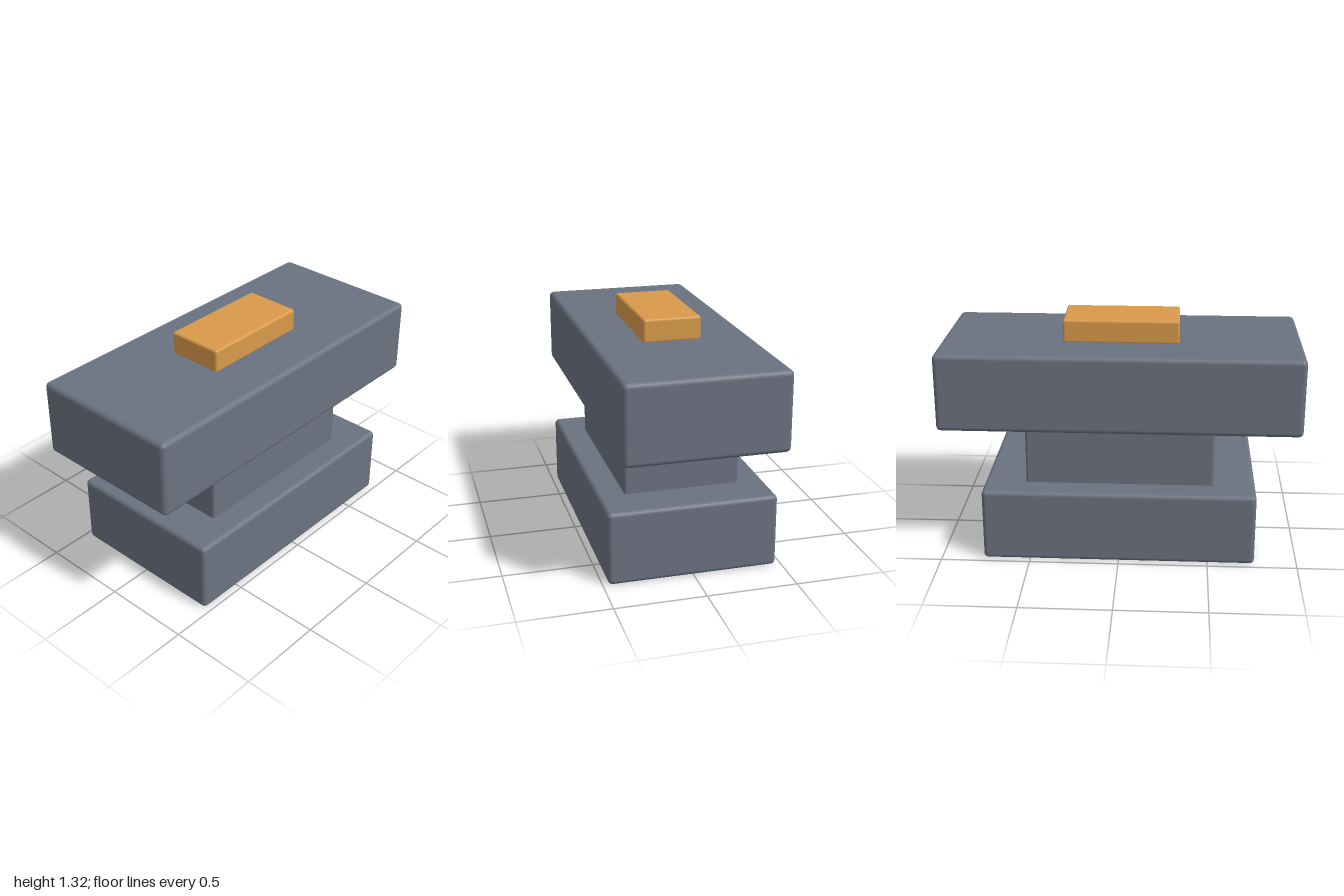
import * as THREE from 'three';
import { RoundedBoxGeometry } from 'three/addons/geometries/RoundedBoxGeometry.js';

export function createModel() {
  const group = new THREE.Group();

  const slate = new THREE.MeshStandardMaterial({ color: 0x6b7280 });
  slate.name = 'slate grey';
  const amber = new THREE.MeshStandardMaterial({ color: 0xd99a4a });
  amber.name = 'amber';

  // Soft-edged block centred on the vertical axis, from y0 to y1
  const block = (name, width, depth, y0, y1, radius, material) => {
    const geometry = new RoundedBoxGeometry(width, y1 - y0, depth, 3, radius);
    const mesh = new THREE.Mesh(geometry, material);
    mesh.name = name;
    mesh.position.y = (y0 + y1) / 2;
    group.add(mesh);
  };

  block('base', 1.525, 0.94, 0, 0.413, 0.025, slate);
  // The waist runs a little into the blocks above and below
  block('waist', 1.055, 0.647, 0.37, 0.8, 0.015, slate);
  block('body', 2, 0.88, 0.754, 1.192, 0.028, slate);
  block('topCap', 0.645, 0.324, 1.185, 1.318, 0.014, amber);

  return group;
}
